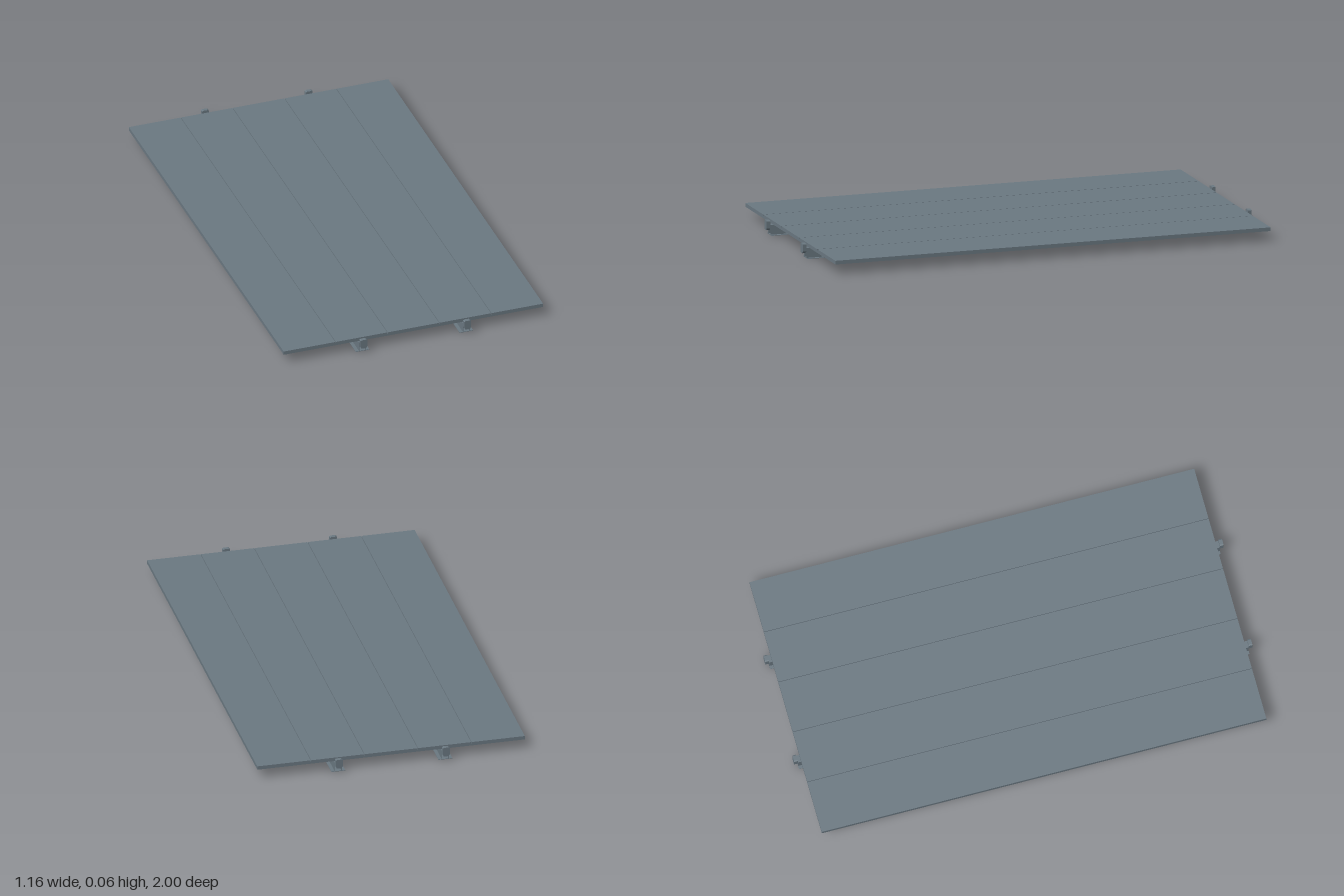
import * as THREE from 'three';

const steel = new THREE.MeshStandardMaterial({ color: 0x6b7982 });

function box(name, w, h, d, x, y, z) {
  const mesh = new THREE.Mesh(new THREE.BoxGeometry(w, h, d), steel);
  mesh.name = name;
  mesh.position.set(x, y, z);
  return mesh;
}

// Extrudes an [x, y] outline along z, centred on z = 0
function profile(name, points, depth) {
  const shape = new THREE.Shape(points.map(([x, y]) => new THREE.Vector2(x, y)));
  const geometry = new THREE.ExtrudeGeometry(shape, { depth, bevelEnabled: false });
  geometry.translate(0, 0, -depth / 2);
  const mesh = new THREE.Mesh(geometry, steel);
  mesh.name = name;
  return mesh;
}

// Flat deck: five planks parted by narrow grooves in the top
function createDeck() {
  const half = 0.58, bottom = 0.044, top = 0.06, planks = 5;
  const gap = 0.0015, floor = 0.054;
  const points = [[-half, bottom], [half, bottom], [half, top]];
  for (let i = planks - 1; i > 0; i--) {
    const x = -half + (2 * half * i) / planks;
    points.push([x + gap, top], [x + gap, floor], [x - gap, floor], [x - gap, top]);
  }
  points.push([-half, top]);
  return profile('deck', points, 1.94);
}

// Hollow support rail with a wide thin foot
function createRail() {
  const rail = new THREE.Group();
  rail.name = 'rail';
  const length = 1.966;
  rail.add(box('railFoot', 0.06, 0.002, length, 0, 0.001, 0));
  for (const side of [-1, 1]) {
    rail.add(box('railWeb', 0.002, 0.042, length, side * 0.0145, 0.023, 0));
  }
  rail.add(box('railTop', 0.031, 0.002, length, 0, 0.043, 0));

  // Hooked end connectors
  for (const end of [-1, 1]) {
    const hook = new THREE.Group();
    hook.name = 'endHook';
    const cap = profile('hookCap', [
      [-0.01, 0.022], [0.01, 0.022], [0.015, 0.03], [0.015, 0.06],
      [0.01, 0.063], [-0.01, 0.063], [-0.015, 0.06], [-0.015, 0.03],
    ], 0.016);
    cap.position.z = end * 0.992;
    hook.add(cap);
    hook.add(box('hookNeck', 0.027, 0.02, 0.03, 0, 0.034, end * 0.972));
    rail.add(hook);
  }
  return rail;
}

export function createModel() {
  const model = new THREE.Group();
  model.name = 'platform';
  model.add(createDeck());
  for (const side of [-1, 1]) {
    const rail = createRail();
    rail.position.x = side * 0.232;
    model.add(rail);
  }
  return model;
}
